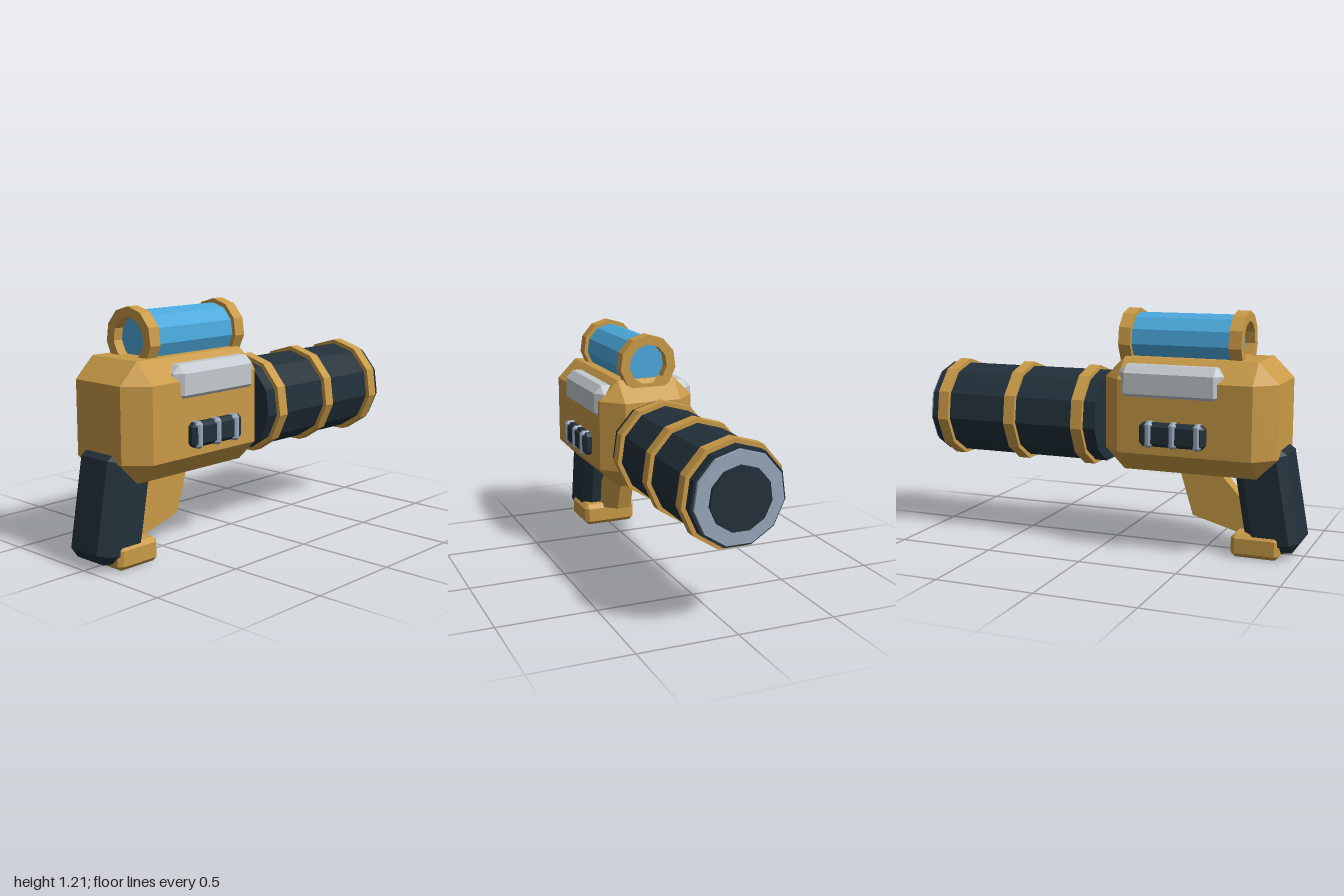
import * as THREE from 'three';
import { ConvexGeometry } from 'three/addons/geometries/ConvexGeometry.js';

const SIDES = 11;

function material(name, color) {
  const m = new THREE.MeshStandardMaterial({ color });
  m.name = name;
  return m;
}

// Box with every edge cut at 45 degrees by c
function chamferBox(w, h, d, c) {
  const half = [w / 2, h / 2, d / 2];
  const points = [];
  for (let axis = 0; axis < 3; axis++)
    for (const sx of [-1, 1]) for (const sy of [-1, 1]) for (const sz of [-1, 1]) {
      const p = half.map((v, i) => (i === axis ? v : v - c));
      points.push(new THREE.Vector3(sx * p[0], sy * p[1], sz * p[2]));
    }
  return new ConvexGeometry(points);
}

// Turn a shape built round y so it lies along x, with hard facets
function alongX(geometry) {
  geometry.rotateX(-Math.PI / 2).rotateY(-Math.PI / 2);
  const flat = geometry.toNonIndexed();
  flat.computeVertexNormals();
  return flat;
}

const drum = (r, length) => alongX(new THREE.CylinderGeometry(r, r, length, SIDES));

function hoop(inner, outer, length) {
  const h = length / 2;
  const profile = [[inner, -h], [outer, -h], [outer, h], [inner, h], [inner, -h]];
  return alongX(new THREE.LatheGeometry(profile.map(p => new THREE.Vector2(...p)), SIDES));
}

export function createModel() {
  const gold = material('gold', 0xc99a47);
  const dark = material('dark slate', 0x22303a);
  const glass = material('blue glass', 0x4aa8dc);
  const steel = material('blue steel', 0x96a7b9);
  const silver = material('silver', 0xc3c9ce);

  const model = new THREE.Group();
  model.name = 'blaster';
  function add(name, geometry, mat, x, y, z = 0) {
    const mesh = new THREE.Mesh(geometry, mat);
    mesh.name = name;
    mesh.position.set(x, y, z);
    model.add(mesh);
    return mesh;
  }

  // Body
  add('body', chamferBox(0.89, 0.57, 0.515, 0.103), gold, -0.445, 0.69);

  // Barrel with bands and muzzle
  const axisY = 0.645;
  add('barrel', drum(0.238, 0.94), dark, 0.5, axisY);
  for (const x of [0.125, 0.506, 0.896]) add('barrelBand', drum(0.26, 0.06), gold, x, axisY);
  add('muzzlePlate', drum(0.224, 0.04), steel, 0.965, axisY);
  add('muzzleCore', drum(0.155, 0.04), dark, 0.98, axisY);

  // Glass canister on top, held by two hoops
  const canisterY = 1.054;
  add('canister', drum(0.133, 0.53), glass, -0.382, canisterY);
  for (const x of [-0.667, -0.097]) add('canisterHoop', hoop(0.104, 0.154, 0.064), gold, x, canisterY);

  // Leaning grip and its foot
  const grip = add('grip', chamferBox(0.27, 0.53, 0.276, 0.046), dark, -0.826, 0.284);
  grip.rotation.z = -Math.PI / 18;
  add('gripFoot', chamferBox(0.245, 0.12, 0.3, 0.022), gold, -0.781, 0.061);

  // Brace between body and foot
  const outline = [[-0.34, 0.46], [-0.43, 0.165], [-0.74, 0.08], [-0.74, 0.21], [-0.51, 0.46]];
  const brace = new THREE.ExtrudeGeometry(
    new THREE.Shape(outline.map(p => new THREE.Vector2(...p))),
    { depth: 0.076, bevelEnabled: false });
  add('brace', brace, gold, 0, 0, -0.038);

  // Matching rails and clipped panels on both sides
  for (const side of [1, -1]) {
    const name = side > 0 ? 'front' : 'back';
    add(name + 'Rail', chamferBox(0.535, 0.18, 0.125, 0.039), silver, -0.37, 0.857, side * 0.21);
    add(name + 'Panel', chamferBox(0.335, 0.118, 0.08, 0.018), dark, -0.397, 0.614, side * 0.26);
    for (const x of [-0.527, -0.402, -0.279])
      add(name + 'Clip', chamferBox(0.042, 0.13, 0.09, 0.014), steel, x, 0.614, side * 0.263);
  }
  return model;
}
